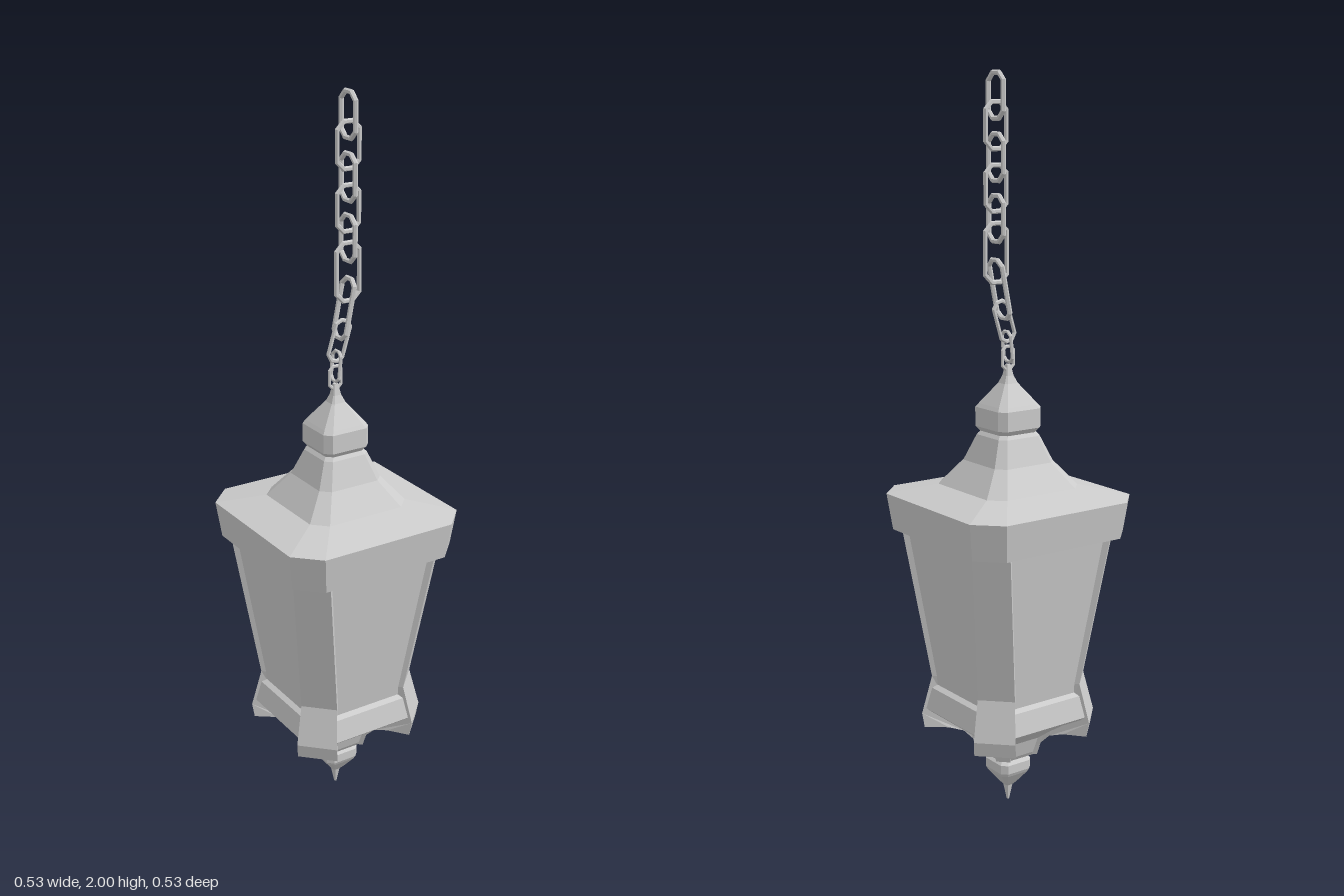
import * as THREE from 'three';

const material = new THREE.MeshStandardMaterial({ color: 0xcccccc, flatShading: true });

function meshFrom(name, triangles) {
  const geometry = new THREE.BufferGeometry();
  geometry.setAttribute('position', new THREE.Float32BufferAttribute(triangles.flat(2), 3));
  geometry.computeVertexNormals();
  const mesh = new THREE.Mesh(geometry, material);
  mesh.name = name;
  return mesh;
}

// Square with cut corners: h is the half width, f the half length of a flat side.
const ring = ([y, h, f]) => [
  [h, -f], [h, f], [f, h], [-f, h], [-h, f], [-h, -f], [-f, -h], [f, -h],
].map(([x, z]) => [x, y, z]);

// Closed loft through cut-corner squares, listed from bottom to top.
function loft(name, sections) {
  const rings = sections.map(ring);
  const last = rings.length - 1;
  const low = [0, sections[0][0], 0], high = [0, sections[last][0], 0];
  const triangles = [];
  for (let i = 0; i < 8; i++) {
    const j = (i + 1) % 8;
    for (let k = 0; k < last; k++) {
      const a = rings[k], b = rings[k + 1];
      triangles.push([a[i], b[i], a[j]], [a[j], b[i], b[j]]);
    }
    triangles.push([low, rings[0][i], rings[0][j]], [high, rings[last][j], rings[last][i]]);
  }
  return meshFrom(name, triangles);
}

// Solid bracket from a counterclockwise side outline of [radius, y, half thickness].
function bracket(name, outline) {
  const near = outline.map(([r, y, w]) => [r, y, w]);
  const far = outline.map(([r, y, w]) => [r, y, -w]);
  const faces = THREE.ShapeUtils.triangulateShape(
    outline.map(([r, y]) => new THREE.Vector2(r, y)), []);
  const triangles = [];
  for (const [a, b, c] of faces) {
    triangles.push([near[a], near[b], near[c]], [far[c], far[b], far[a]]);
  }
  outline.forEach((_, i) => {
    const j = (i + 1) % outline.length;
    triangles.push([far[i], far[j], near[i]], [far[j], near[j], near[i]]);
  });
  return meshFrom(name, triangles);
}

// Eight-sided chain link, stretched to its full height.
function link({ x, y, height, width, turned, tilt = 0, wire = 0.007 }) {
  const radius = width / 2 / Math.cos(Math.PI / 8) - wire;
  const geometry = new THREE.TorusGeometry(radius, wire, 6, 8);
  geometry.rotateZ(Math.PI / 8);
  const stretch = Math.max(0, (height - width) / 2);
  const p = geometry.attributes.position;
  for (let i = 0; i < p.count; i++) p.setY(i, p.getY(i) + Math.sign(p.getY(i)) * stretch);
  if (turned) geometry.rotateY(Math.PI / 2);
  const mesh = new THREE.Mesh(geometry, material);
  mesh.name = 'chainLink';
  mesh.position.set(x, y, 0);
  mesh.rotation.z = tilt;
  return mesh;
}

export function createModel() {
  const lantern = new THREE.Group();
  lantern.name = 'hangingLantern';

  // Lower drop finial and bowl
  lantern.add(loft('bottomFinial', [
    [0, 0.003, 0.002], [0.045, 0.011, 0.007], [0.055, 0.02, 0.014], [0.09, 0.046, 0.033],
    [0.1, 0.051, 0.036], [0.125, 0.051, 0.036], [0.135, 0.04, 0.028], [0.15, 0.04, 0.028],
  ]));
  lantern.add(loft('bowl', [
    [0.143, 0.058, 0.042], [0.155, 0.066, 0.046], [0.2, 0.08, 0.06],
    [0.225, 0.11, 0.075], [0.272, 0.175, 0.118],
  ]));

  // Rail below the panes, and the tapered glazed body
  lantern.add(loft('bottomRail', [
    [0.27, 0.183, 0.118], [0.28, 0.194, 0.12], [0.34, 0.18, 0.112], [0.35, 0.165, 0.105],
  ]));
  lantern.add(loft('glassBody', [[0.34, 0.166, 0.1], [0.8, 0.224, 0.155]]));

  // Four corner posts with flared feet
  const posts = new THREE.Group();
  posts.name = 'cornerPosts';
  const outline = [
    [0.05, 0.148, 0.018], [0.085, 0.148, 0.02], [0.095, 0.185, 0.024], [0.12, 0.21, 0.03],
    [0.16, 0.222, 0.042], [0.226, 0.225, 0.056], [0.233, 0.265, 0.056], [0.205, 0.375, 0.05],
    [0.284, 0.8, 0.05], [0.24, 0.8, 0.05], [0.16, 0.375, 0.05], [0.05, 0.27, 0.018],
  ];
  for (let i = 0; i < 4; i++) {
    const post = bracket('cornerPost', outline);
    post.rotation.y = Math.PI / 4 + i * Math.PI / 2;
    posts.add(post);
  }
  lantern.add(posts);

  // Roof with swept sides, and the cap on top
  lantern.add(loft('roof', [
    [0.79, 0.25, 0.187], [0.89, 0.263, 0.197], [0.918, 0.15, 0.112],
    [0.985, 0.096, 0.072], [1.055, 0.067, 0.05], [1.065, 0.058, 0.043], [1.085, 0.058, 0.043],
  ]));
  lantern.add(loft('topFinial', [
    [1.065, 0.06, 0.044], [1.078, 0.07, 0.052], [1.13, 0.07, 0.052], [1.14, 0.063, 0.046],
    [1.195, 0.021, 0.015], [1.215, 0.012, 0.009], [1.245, 0.006, 0.004],
  ]));

  // Chain, from the eye on the cap upward
  const chain = new THREE.Group();
  chain.name = 'chain';
  const links = [
    { x: 0, y: 1.262, height: 0.07, width: 0.045, wire: 0.005 },
    { x: 0.002, y: 1.292, height: 0.09, width: 0.048, turned: true, tilt: -0.1, wire: 0.005 },
    { x: 0.012, y: 1.36, height: 0.12, width: 0.056, tilt: -0.3, wire: 0.006 },
    { x: 0.027, y: 1.445, height: 0.17, width: 0.07, turned: true, tilt: -0.2 },
    { x: 0.038, y: 1.54, height: 0.165, width: 0.082 },
    { x: 0.038, y: 1.628, height: 0.13, width: 0.078, turned: true },
    { x: 0.038, y: 1.705, height: 0.13, width: 0.078 },
    { x: 0.038, y: 1.783, height: 0.13, width: 0.078, turned: true },
    { x: 0.038, y: 1.863, height: 0.13, width: 0.078 },
    { x: 0.038, y: 1.937, height: 0.126, width: 0.078, turned: true },
  ];
  links.forEach((spec) => chain.add(link(spec)));
  lantern.add(chain);

  return lantern;
}
